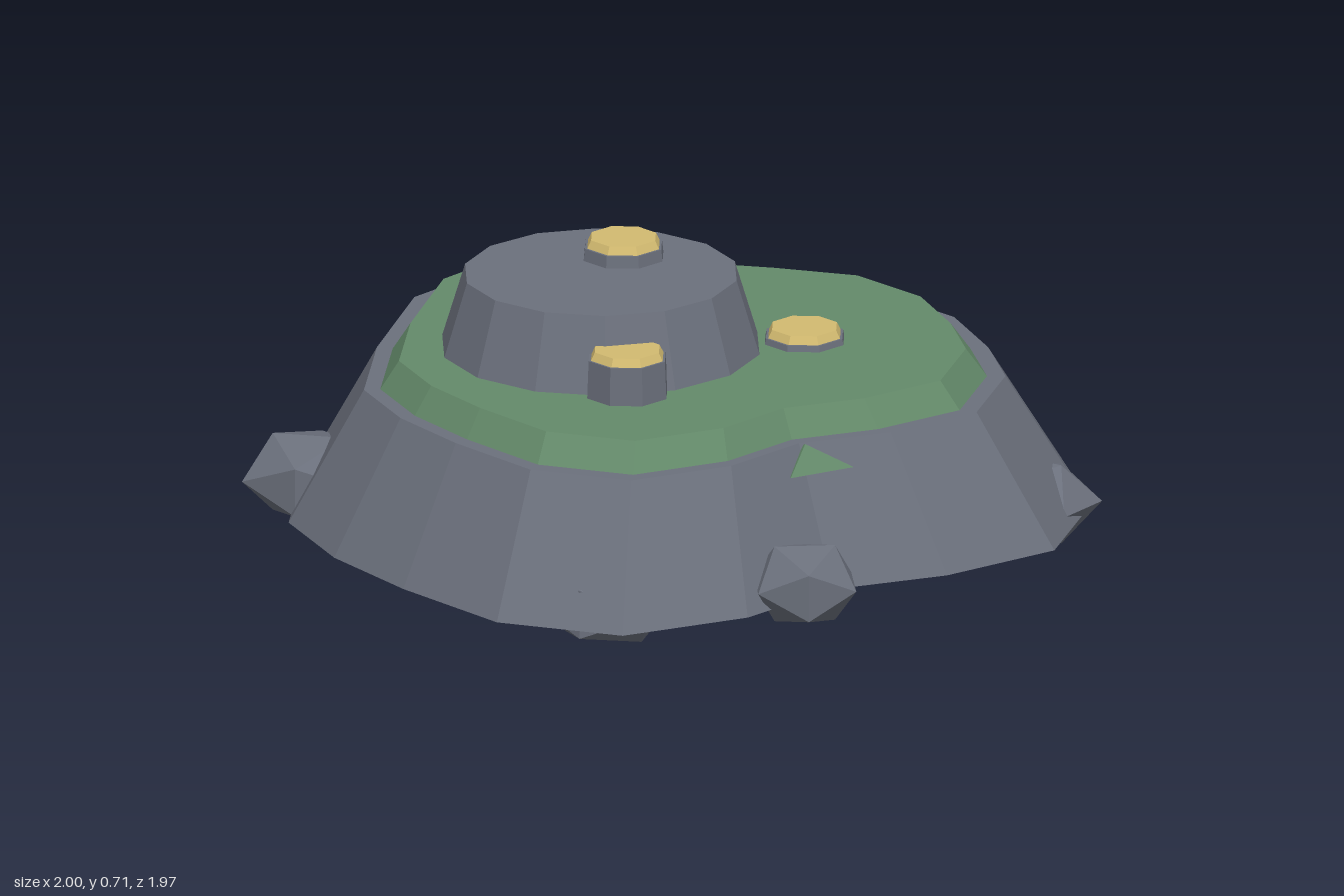
import * as THREE from 'three';
import { ConvexGeometry } from 'three/addons/geometries/ConvexGeometry.js';

const stone = new THREE.MeshStandardMaterial({ name: 'stone grey', color: 0x6b707c });
const grass = new THREE.MeshStandardMaterial({ name: 'grass green', color: 0x648a6a });
const gold = new THREE.MeshStandardMaterial({ name: 'pale gold', color: 0xd2ba70 });

// Island footprint as x, z pairs
const outline = [
  [0.28, -0.99], [0.57, -0.87], [0.78, -0.65], [0.94, -0.42], [1.0, -0.07],
  [0.84, 0.21], [0.63, 0.42], [0.53, 0.70], [0.31, 0.95], [-0.01, 0.98],
  [-0.32, 0.84], [-0.57, 0.69], [-0.78, 0.49], [-0.91, 0.10], [-1.0, -0.38],
  [-0.90, -0.71], [-0.60, -0.87], [-0.29, -0.89], [-0.01, -0.95],
];

// Closed, faceted slab between two scaled copies of the footprint
function slab(scale0, y0, scale1, y1) {
  const pos = [];
  const at = ([x, z], s, y) => [x * s, y, z * s];
  outline.forEach((p, i) => {
    const q = outline[(i + 1) % outline.length];
    const a0 = at(p, scale0, y0), b0 = at(q, scale0, y0);
    const a1 = at(p, scale1, y1), b1 = at(q, scale1, y1);
    pos.push(...a0, ...a1, ...b0, ...a1, ...b1, ...b0);
    pos.push(0, y1, 0, ...b1, ...a1);
    pos.push(0, y0, 0, ...a0, ...b0);
  });
  const g = new THREE.BufferGeometry();
  g.setAttribute('position', new THREE.Float32BufferAttribute(pos, 3));
  g.computeVertexNormals();
  return g;
}

// Flat-faced tapered prism standing on y = 0
function prism(rTop, rBottom, height, sides) {
  const g = new THREE.CylinderGeometry(rTop, rBottom, height, sides).toNonIndexed();
  g.translate(0, height / 2, 0);
  g.computeVertexNormals();
  return g;
}

export function createModel() {
  const model = new THREE.Group();
  model.name = 'rockyIsland';
  const add = (parent, name, geometry, material, x = 0, y = 0, z = 0) => {
    const m = new THREE.Mesh(geometry, material);
    m.name = name;
    m.position.set(x, y, z);
    parent.add(m);
    return m;
  };

  // Main landforms
  add(model, 'cliff', slab(1, 0.075, 0.8, 0.405), stone);
  add(model, 'grassCap', slab(0.76, 0.4, 0.707, 0.475), grass);
  add(model, 'upperMound', prism(0.335, 0.392, 0.187, 14), stone, -0.155, 0.473, 0.035);

  // Grass tufts on the cliff face: two base corners, tip, buried corner
  const tufts = [
    [[0.515, 0.34, 0.41], [0.62, 0.34, 0.27], [0.52, 0.405, 0.335], [0.42, 0.35, 0.25]],
    [[-0.34, 0.34, -0.755], [-0.14, 0.34, -0.785], [-0.24, 0.405, -0.72], [-0.2, 0.35, -0.6]],
  ];
  for (const pts of tufts) {
    add(model, 'grassTuft', new ConvexGeometry(pts.map((p) => new THREE.Vector3(...p))), grass);
  }

  // Stone pedestals with gold caps: x, y, z, pedestal height
  const studs = [
    [-0.155, 0.655, -0.10, 0.035],
    [0.28, 0.47, -0.20, 0.02],
    [0.055, 0.47, 0.35, 0.1],
  ];
  for (const [x, y, z, h] of studs) {
    const stud = new THREE.Group();
    stud.name = 'stud';
    stud.position.set(x, y, z);
    add(stud, 'studPedestal', prism(0.1, 0.104, h, 8), stone);
    add(stud, 'studCap', prism(0.084, 0.094, 0.02, 8), gold, 0, h, 0);
    model.add(stud);
  }

  // Boulders around the foot: centre x, y, z, radii x, y, z, turn
  const boulders = [
    [-0.82, 0.13, 0.28, 0.17, 0.115, 0.18, 0.2],
    [-0.66, 0.11, -0.69, 0.2, 0.115, 0.16, 0.4],
    [0.18, 0.1, 0.77, 0.19, 0.117, 0.17, 0],
    [0.61, 0.125, 0.54, 0.14, 0.112, 0.145, 0.5],
    [0.8, 0.1, -0.35, 0.2, 0.117, 0.15, -0.2],
  ];
  for (const [x, y, z, rx, ry, rz, turn] of boulders) {
    const g = new THREE.IcosahedronGeometry(1, 0);
    g.scale(rx, ry, rz);
    g.rotateY(turn);
    g.computeVertexNormals();
    add(model, 'boulder', g, stone, x, y, z);
  }
  return model;
}
